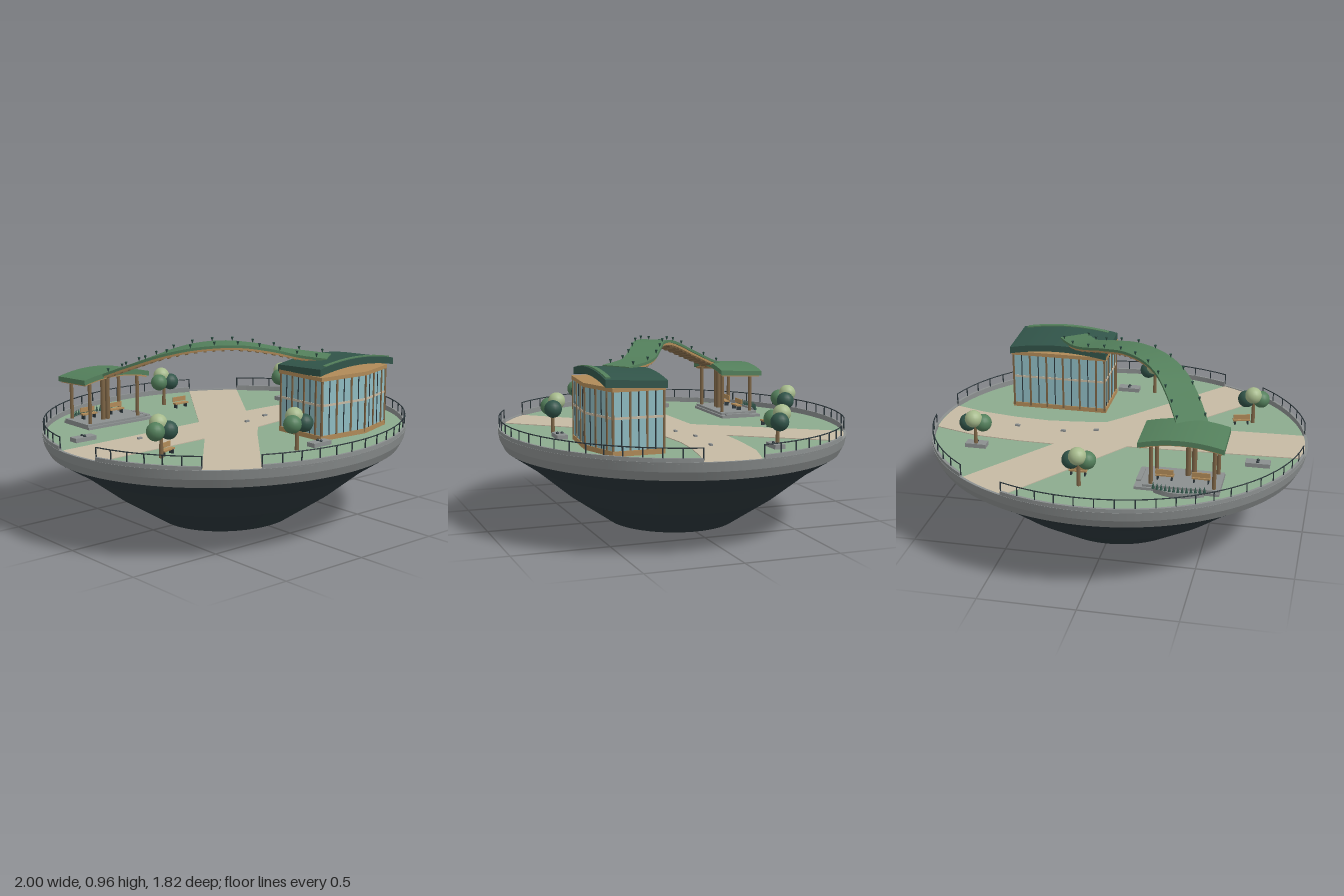
import * as THREE from 'three';

const mat = (name, color, side = THREE.FrontSide) => {
  const m = new THREE.MeshStandardMaterial({ color, side });
  m.name = name;
  return m;
};
const RZ = 0.91, GROUND = 0.478; // ellipse ratio and lawn height

export function createModel() {
  const lawn = mat('lawn green', 0x8cab8e, THREE.DoubleSide);
  const paving = mat('paving tan', 0xc6baa4);
  const dark = mat('dark slate', 0x2b363b, THREE.DoubleSide);
  const concrete = mat('concrete grey', 0x8b8f8f, THREE.DoubleSide);
  const green = mat('roof green', 0x537f5b);
  const deepGreen = mat('deep green', 0x315449);
  const glass = mat('glass blue', 0x8fbcc2);
  const wood = mat('wood', 0xb08a58);
  const bronze = mat('bronze', 0x7d6546);
  const leaf = mat('light leaf', 0xa6ba8c);

  const model = new THREE.Group();
  const add = (name, geo, material, x = 0, y = 0, z = 0, parent = model) => {
    const m = new THREE.Mesh(geo, material);
    m.name = name;
    m.position.set(x, y, z);
    parent.add(m);
    return m;
  };
  const group = (name, x, z, turn = 0) => {
    const g = new THREE.Group();
    g.name = name;
    g.position.set(x, GROUND, z);
    g.rotation.y = turn;
    model.add(g);
    return g;
  };
  const box = (w, h, d) => new THREE.BoxGeometry(w, h, d);
  // plan outline given as [x, z] pairs, raised by h
  const slab = (plan, h) => new THREE.ExtrudeGeometry(
    new THREE.Shape(plan.map(([x, z]) => new THREE.Vector2(x, -z))),
    { depth: h, bevelEnabled: false }).rotateX(-Math.PI / 2);
  const rimPoint = (t, r = 1) => [r * Math.cos(t), r * RZ * Math.sin(t)];
  const rimArc = (a, b, r = 1, n = 12) =>
    Array.from({ length: n + 1 }, (_, i) => rimPoint(a + (b - a) * i / n, r));

  // bowl-shaped hull and its pale rim, one band per profile step
  const profile = [[0.37, 0], [0.61, 0.15], [0.81, 0.3], [0.965, 0.395], [0.99, 0.44], [1, 0.487], [0.985, 0.487]];
  for (let i = 0; i < profile.length - 1; i++) {
    const pts = [profile[i], profile[i + 1]].map(p => new THREE.Vector2(...p));
    add(i < 3 ? 'hull' : 'rim', new THREE.LatheGeometry(pts, 96).scale(1, 1, RZ), i < 3 ? dark : concrete);
  }
  add('lawn', new THREE.CircleGeometry(0.99, 96).rotateX(-Math.PI / 2).scale(1, 1, RZ), lawn, 0, GROUND, 0);

  // crossing footpaths
  const paths = [
    ...rimArc(-0.11, 0.22, 0.985), [0.8, 0.145], [0.6, 0.112], [0.42, 0.1], [0.26, 0.115], [0.1, 0.14], [-0.02, 0.27],
    ...rimArc(2.06, 2.356, 0.985), [-0.28, 0.155],
    ...rimArc(2.94, 3.26, 0.985), [-0.07, -0.145],
    ...rimArc(5.14, 5.443, 0.985), [0.31, -0.19], [0.5, -0.187], [0.75, -0.165],
  ];
  add('footpaths', slab(paths, 0.004), paving, 0, GROUND, 0);
  for (const [x, z] of [[-0.54, -0.05], [0.3, -0.025], [0.13, 0.02], [0.56, -0.005]])
    add('pathLight', box(0.026, 0.01, 0.014), concrete, x, GROUND + 0.008, z);

  // kerb and railing, open where the paths leave
  for (const [a, b] of [[0.22, 2.06], [2.356, 2.94], [3.26, 5.14], [5.443, 6.17]]) {
    const n = Math.max(6, Math.round((b - a) * 16));
    const kerb = [...rimArc(a, b, 0.998, n), ...rimArc(b, a, 0.984, n)];
    add('kerb', slab(kerb, 0.028), concrete, 0, GROUND, 0);
    const line = new THREE.CatmullRomCurve3(rimArc(a, b, 0.99, n).map(([x, z]) => new THREE.Vector3(x, 0.553, z)));
    add('handrail', new THREE.TubeGeometry(line, n * 2, 0.003, 5), dark);
    const posts = Math.round((b - a) / 0.1);
    for (let i = 0; i <= posts; i++) {
      const [x, z] = rimPoint(a + (b - a) * i / posts, 0.99);
      add('railPost', box(0.005, 0.06, 0.005), dark, x, 0.525, z);
    }
  }

  // slab arched along x and tilted along z
  const archedRoof = (w, t, d, rise, tilt) => {
    const g = new THREE.BoxGeometry(w, t, d, 20, 1, 1), p = g.attributes.position;
    for (let i = 0; i < p.count; i++) {
      const u = 2 * p.getX(i) / w;
      p.setY(i, p.getY(i) + rise * (1 - u * u) + tilt * p.getZ(i));
    }
    g.computeVertexNormals();
    return g;
  };

  // glass hall
  const plan = [[0.14, 0.575], [0.43, 0.6], [0.655, 0.53], [0.655, 0.275], [0.14, 0.275]];
  const grown = k => plan.map(([x, z]) => [0.4 + (x - 0.4) * k, 0.43 + (z - 0.43) * k]);
  add('hallFloor', slab(grown(1.03), 0.025), wood, 0, GROUND, 0);
  add('hallGlass', slab(plan, 0.31), glass, 0, GROUND, 0);
  add('hallMidRail', slab(grown(1.015), 0.012), paving, 0, 0.653, 0);
  add('hallTopBeam', slab(grown(1.04), 0.02), wood, 0, 0.785, 0);
  plan.forEach(([x0, z0], e) => {
    const [x1, z1] = plan[(e + 1) % plan.length];
    const len = Math.hypot(x1 - x0, z1 - z0), n = Math.round(len / 0.046);
    for (let i = 0; i < n; i++) {
      const k = i / n, thick = i % 2 ? 0.005 : 0.01;
      const m = add('mullion', box(thick, 0.3, thick), i % 2 ? dark : bronze,
        x0 + (x1 - x0) * k, 0.637, z0 + (z1 - z0) * k);
      m.rotation.y = -Math.atan2(z1 - z0, x1 - x0);
    }
  });
  add('hallRoof', archedRoof(0.54, 0.036, 0.31, 0.028, 0.05), deepGreen, 0.4, 0.82, 0.415);
  add('hallRoofStrip', archedRoof(0.47, 0.012, 0.025, 0.022, 0.05), green, 0.41, 0.85, 0.55);

  // open pavilion
  add('pavilionRoof', archedRoof(0.42, 0.026, 0.245, 0.028, 0.05), green, -0.43, 0.727, -0.507);
  add('pavilionSoffit', archedRoof(0.4, 0.008, 0.225, 0.028, 0.05), wood, -0.43, 0.711, -0.507);
  add('pavilionStep', box(0.42, 0.014, 0.23), concrete, -0.41, GROUND + 0.007, -0.5);
  add('pavilionFloor', box(0.38, 0.026, 0.21), concrete, -0.43, GROUND + 0.013, -0.5);
  add('sideStep', box(0.025, 0.022, 0.14), concrete, -0.212, GROUND + 0.011, -0.48);
  for (const [x, z, r] of [[-0.59, -0.585, 0.01], [-0.28, -0.585, 0.01], [-0.59, -0.415, 0.01], [-0.28, -0.415, 0.01],
    [-0.475, -0.46, 0.013], [-0.445, -0.46, 0.013]])
    add('pavilionPost', new THREE.CylinderGeometry(r, r, 0.23, 10), bronze, x, 0.61, z);

  // curved planter behind the pavilion
  const planterArc = (r, flip) => Array.from({ length: 13 }, (_, i) => {
    const u = (flip ? 12 - i : i) / 6 - 1;
    return [-0.425 + u * 0.125, -0.63 - r * (1 - u * u)];
  });
  add('planter', slab([...planterArc(0.04, false), [-0.3, -0.6], ...planterArc(0.005, true)], 0.025), concrete, 0, GROUND, 0);
  for (const [x, z] of planterArc(0.024, false))
    add('planterShrub', new THREE.ConeGeometry(0.009, 0.035, 6), deepGreen, x, GROUND + 0.04, z);

  // arching green bridge swept along a curve
  const curve = new THREE.CatmullRomCurve3([
    [-0.46, 0.755, -0.43], [-0.375, 0.835, -0.245], [-0.29, 0.895, -0.105], [-0.19, 0.928, 0],
    [-0.05, 0.936, 0.1], [0.085, 0.916, 0.17], [0.235, 0.88, 0.265], [0.345, 0.862, 0.415],
  ].map(p => new THREE.Vector3(...p)));
  const place = (t, y, s) => {
    const tan = curve.getPointAt(t), dir = curve.getTangentAt(t);
    const side = new THREE.Vector3(-dir.z, 0, dir.x).normalize();
    return tan.addScaledVector(side, s).add(new THREE.Vector3(0, y, 0));
  };
  const sweep = (width, thick, y, t0 = 0, t1 = 1, n = 48) => {
    const g = new THREE.BoxGeometry(1, thick, width, n, 1, 1), p = g.attributes.position;
    for (let i = 0; i < p.count; i++) {
      const t = THREE.MathUtils.clamp(t0 + (t1 - t0) * (p.getX(i) + 0.5), 0, 1);
      p.setXYZ(i, ...place(t, p.getY(i) + y, p.getZ(i)).toArray());
    }
    g.computeVertexNormals();
    return g;
  };
  add('bridgeDeck', sweep(0.16, 0.014, 0), green);
  add('bridgeSoffit', sweep(0.145, 0.012, -0.013), wood);
  for (let i = 1; i < 28; i++)
    add('bridgeRib', sweep(0.13, 0.008, -0.022, i / 28 - 0.006, i / 28 + 0.006, 1), bronze);
  for (let i = 0; i < 11; i++) for (const s of [-0.072, 0.072]) {
    const p = place(0.04 + i * 0.092, 0.016, s);
    add('bridgeShrub', new THREE.ConeGeometry(0.008, 0.022, 6).rotateX(Math.PI), deepGreen, p.x, p.y, p.z);
  }

  // three-lobed trees
  const lobe = r => new THREE.SphereGeometry(r, 18, 12);
  for (const [x, z] of [[0.07, -0.63], [0.7, -0.3], [-0.68, 0.31], [-0.08, 0.625]]) {
    const g = group('tree', x, z);
    add('trunk', new THREE.CylinderGeometry(0.008, 0.011, 0.13, 8), bronze, 0, 0.065, 0, g);
    add('leftLobe', lobe(0.046), green, -0.04, 0.137, 0.008, g);
    add('rightLobe', lobe(0.046), deepGreen, 0.04, 0.133, 0.008, g);
    add('topLobe', lobe(0.045), leaf, 0, 0.168, -0.022, g);
  }

  // timber benches with backs
  for (const [x, z, turn, lift] of [[0.1, -0.515, 0, 0], [-0.62, 0.28, 0.3, 0], [-0.52, -0.53, 0, 0.026], [-0.34, -0.53, 0, 0.026]]) {
    const g = group('bench', x, z, turn);
    g.position.y += lift;
    add('seat', box(0.09, 0.008, 0.03), wood, 0, 0.026, 0, g);
    add('backrest', box(0.09, 0.025, 0.006), wood, 0, 0.047, -0.014, g);
    for (const s of [-0.035, 0.035]) add('benchLeg', box(0.007, 0.024, 0.024), dark, s, 0.012, 0, g);
  }

  // low concrete plinths with small dark fittings
  for (const [x, z, w] of [[-0.765, -0.225, 0.125], [0.07, 0.63, 0.12], [0.7, -0.29, 0.11]]) {
    const g = group('plinth', x, z);
    add('plinthBlock', box(w, 0.022, 0.055), concrete, 0, 0.011, 0, g);
    for (const s of [-0.012, 0.012]) add('plinthFitting', lobe(0.008), dark, 0, 0.024, s, g);
  }
  return model;
}
